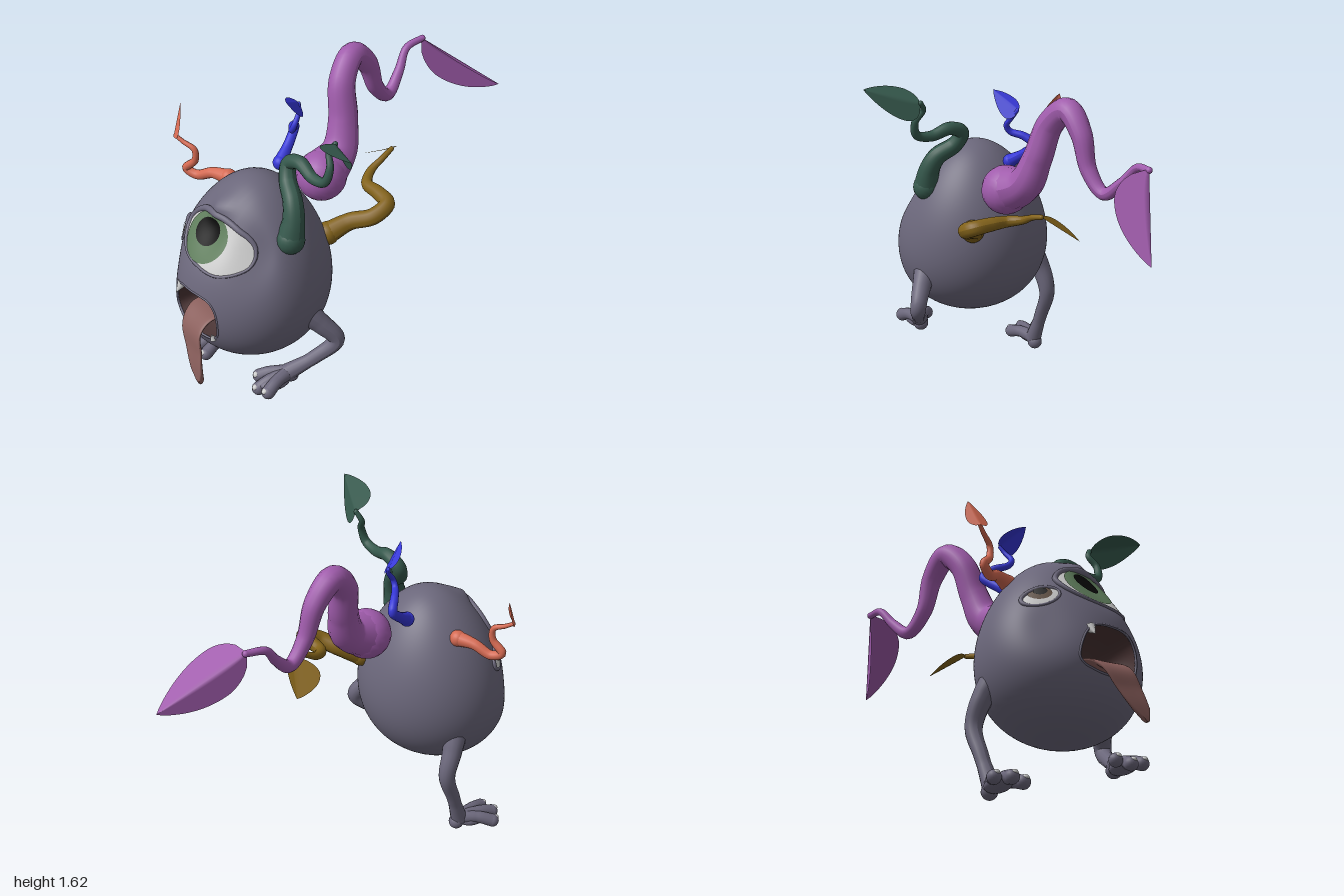
import * as THREE from 'three';

const V = (p) => new THREE.Vector3(...p);
const SKIN = 0x6b677b, DARK = 0x4a3434, WHITE = 0xdcdcda;

function mesh(geo, color, name, side = THREE.FrontSide) {
  const m = new THREE.Mesh(geo, new THREE.MeshStandardMaterial({ color, side, roughness: 0.8 }));
  m.name = name;
  return m;
}

// Grid surface: fn(u, t) -> Vector3, u across (optionally closed), t from the centre outwards
function grid(cols, rows, closed, fn) {
  const pos = [], idx = [], n = closed ? cols : cols + 1;
  for (let i = 0; i <= rows; i++)
    for (let j = 0; j < n; j++) pos.push(...fn(j / cols, i / rows).toArray());
  for (let i = 0; i < rows; i++)
    for (let j = 0; j < cols; j++) {
      const k = (j + 1) % n, a = i * n + j, b = i * n + k, c = a + n, d = b + n;
      idx.push(a, c, b, b, c, d);
    }
  const g = new THREE.BufferGeometry();
  g.setAttribute('position', new THREE.Float32BufferAttribute(pos, 3));
  g.setIndex(idx);
  g.computeVertexNormals();
  return g;
}

function sample(list, t) {
  const f = t * (list.length - 1), i = Math.min(Math.floor(f), list.length - 2);
  return THREE.MathUtils.lerp(list[i], list[i + 1], f - i);
}

// Tapered tube through points, with rounded ends
function limb(points, radii, color, name, closed = false) {
  const g = new THREE.Group();
  g.name = name;
  const curve = new THREE.CatmullRomCurve3(points.map(p => (p.isVector3 ? p : V(p))), closed);
  const segs = points.length * 8, sides = 14;
  const geo = new THREE.TubeGeometry(curve, segs, 1, sides, closed);
  const pos = geo.attributes.position, v = new THREE.Vector3();
  for (let i = 0; i < pos.count; i++) {
    const t = Math.floor(i / (sides + 1)) / segs, c = curve.getPointAt(t);
    v.fromBufferAttribute(pos, i).sub(c).multiplyScalar(sample(radii, t)).add(c);
    pos.setXYZ(i, v.x, v.y, v.z);
  }
  geo.computeVertexNormals();
  g.add(mesh(geo, color, name + 'Tube'));
  if (!closed) for (const t of [0, 1]) g.add(ball(curve.getPointAt(t), sample(radii, t), color, name + 'End'));
  return g;
}

function ball(p, r, color, name) {
  const m = mesh(new THREE.SphereGeometry(r, 20, 14), color, name);
  m.position.copy(p);
  return m;
}

// Egg-shaped body: front position -> unit direction -> surface point
const dirAt = (x, y) => {
  const dy = (y - 0.775) / 0.46, dx = (x + 0.05) / (0.38 * (1 - 0.21 * dy));
  return new THREE.Vector3(dx, dy, Math.sqrt(Math.max(0, 1 - dx * dx - dy * dy))).normalize();
};
// Depth changes: sunken eye corner, eye socket and cheek, raised brow
const reliefs = [[0.2, 0.98, -0.06, 0.11], [-0.02, 1.03, -0.045, 0.08], [-0.29, 0.75, -0.03, 0.12], [-0.04, 1.15, 0.04, 0.03]]
  .map(([x, y, depth, spread]) => ({ at: dirAt(x, y), depth, spread }));
const egg = (d, off = 0) => {
  const f = 1 - 0.21 * d.y;
  let z = 0.575 + 0.365 * d.z * f - 0.03 * d.y;
  for (const r of reliefs) z += r.depth * Math.exp(-d.distanceToSquared(r.at) / r.spread);
  return new THREE.Vector3(-0.05 + 0.38 * d.x * f, 0.775 + 0.46 * d.y, z).addScaledVector(d, off);
};
const onBody = (x, y, off = 0) => egg(dirAt(x, y), off);

const outline = (pts) => {
  const c = new THREE.CatmullRomCurve3(pts.map(([x, y]) => new THREE.Vector3(x, y, 0)), true);
  return (u) => c.getPoint(u);
};
const oval = (x, y, rx, ry, tilt = 0) => (u) => {
  const a = u * Math.PI * 2, px = rx * Math.cos(a), py = ry * Math.sin(a);
  return new THREE.Vector3(x + px * Math.cos(tilt) - py * Math.sin(tilt), y + px * Math.sin(tilt) + py * Math.cos(tilt), 0);
};

// Filled shape lying on the body
const patch = (edge, [cx, cy], off, color, name) => mesh(grid(48, 10, true, (u, t) => {
  const o = edge(u);
  return onBody(cx + (o.x - cx) * t, cy + (o.y - cy) * t, off);
}), color, name);

// Ridge following an outline on the body
const ridge = (edge, radii, off, name) => limb(
  Array.from({ length: 24 }, (_, i) => { const o = edge(i / 24); return onBody(o.x, o.y, off); }), radii, SKIN, name, true);

// Folded leaf: midrib from base to tip, with one offset vector per half
function leaf(base, tip, sideA, sideB, color, name) {
  const b = V(base), t0 = V(tip), sides = [V(sideA), V(sideB)];
  return mesh(grid(12, 24, false, (u, t) => {
    const s = u * 2 - 1;
    const w = t < 0.3 ? Math.sqrt(1 - (1 - t / 0.3) ** 2) : Math.max(0, Math.cos((t - 0.3) / 0.7 * Math.PI / 2)) ** 0.85;
    return b.clone().lerp(t0, t).addScaledVector(sides[s < 0 ? 0 : 1], Math.abs(s) * w);
  }), color, name, THREE.DoubleSide);
}

function tentacle(name, color, bulb, path, radii, leafArgs) {
  const g = new THREE.Group();
  g.name = name;
  g.add(ball(V(path[0]), bulb, color, name + 'Bulb'), limb(path, radii, color, name + 'Stalk'));
  g.add(leaf(...leafArgs, color, name + 'Leaf'));
  return g;
}

// Leg with a padded foot, heel and three clawed toes
function leg(name, path, palm, toes) {
  const g = new THREE.Group();
  g.name = name;
  g.add(limb(path, [0.07, 0.05, 0.042, 0.036, 0.033, 0.042], SKIN, name + 'Limb'));
  const pad = ball(V(palm), 1, SKIN, name + 'Foot');
  pad.scale.set(0.055, 0.034, 0.085);
  const ankle = path.at(-1);
  g.add(pad, ball(V(ankle).add(V([0, -0.02, -0.015])), 0.038, SKIN, name + 'Heel'));
  for (const toe of toes) {
    const mid = V(ankle).lerp(V(toe), 0.6);
    mid.y += 0.012;
    g.add(limb([ankle, mid, toe], [0.036, 0.03, 0.033], SKIN, name + 'Toe'));
    const nail = ball(V(toe).add(V([0, 0.014, 0.017])), 0.018, WHITE, name + 'Nail');
    nail.scale.set(0.9, 0.8, 1);
    g.add(nail);
  }
  return g;
}

export function createModel() {
  const model = new THREE.Group();
  model.name = 'creature';

  // Body wrapped around the mouth opening
  const mouth = outline([[0.14, 0.58], [0.142, 0.7], [0.1, 0.757], [-0.015, 0.765], [-0.115, 0.745],
    [-0.165, 0.665], [-0.172, 0.57], [-0.08, 0.53], [0.03, 0.53], [0.1, 0.535]]);
  const mc = [-0.015, 0.64], back = dirAt(...mc).negate();
  model.add(mesh(grid(96, 64, true, (u, t) => {
    const o = mouth(u), a = dirAt(o.x, o.y), th = a.angleTo(back), s = Math.sin(th);
    return egg(a.multiplyScalar(Math.sin((1 - t) * th) / s).addScaledVector(back, Math.sin(t * th) / s).normalize());
  }), SKIN, 'body'));
  model.add(mesh(grid(64, 14, true, (u, t) => {
    const o = mouth(u), p = onBody(o.x, o.y), k = Math.sin(t * Math.PI / 2);
    return new THREE.Vector3(mc[0] + (p.x - mc[0]) * k, mc[1] + (p.y - mc[1]) * k, p.z - 0.22 * Math.cos(t * Math.PI / 2));
  }), DARK, 'mouthCavity', THREE.DoubleSide));
  model.add(ridge(mouth, [0.006, 0.006], -0.003, 'lips'));

  // Teeth
  for (const [x, y, r, h, flip] of [[-0.12, 0.715, 0.025, 0.06, Math.PI - 0.7], [0.11, 0.558, 0.016, 0.035, 0.3]]) {
    const tooth = mesh(new THREE.ConeGeometry(r, h, 14), WHITE, 'tooth');
    tooth.position.copy(onBody(x, y, 0));
    tooth.rotation.x = flip;
    model.add(tooth);
  }

  // Tongue hanging over the lower lip
  const spine = new THREE.CatmullRomCurve3([[0, 0.61, 0.74], [-0.02, 0.6, 0.88], [0, 0.55, 0.945], [0.045, 0.46, 0.965],
    [0.08, 0.39, 0.98], [0.122, 0.318, 0.988]].map(V));
  const tongueWidth = [0.1, 0.1, 0.1, 0.09, 0.08, 0.072, 0.06, 0.045, 0.006];
  model.add(mesh(grid(20, 32, true, (u, t) => {
    const a = u * Math.PI * 2, w = sample(tongueWidth, t), tan = spine.getTangentAt(t);
    const across = new THREE.Vector3(1, 0.3 * t, 0), up = tan.clone().cross(across).normalize();
    return spine.getPointAt(t).addScaledVector(across, w * Math.cos(a))
      .addScaledVector(up, Math.min(0.016, w) * Math.sin(a) + 0.012 * Math.cos(a) ** 2);
  }), 0x8a5f5c, 'tongue', THREE.DoubleSide));

  // Large eye with lids
  const bigEye = outline([[0.188, 0.935], [0.155, 1.035], [0.06, 1.095], [-0.045, 1.11], [-0.145, 1.085],
    [-0.21, 1.01], [-0.185, 0.95], [-0.115, 0.905], [0, 0.888], [0.125, 0.892]]);
  model.add(patch(bigEye, [-0.02, 1], 0.004, WHITE, 'largeEye'),
    patch(oval(-0.047, 1.0, 0.125, 0.102), [-0.047, 1], 0.008, 0x5f7d5c, 'largeIris'),
    patch(oval(-0.05, 1.022, 0.068, 0.057), [-0.05, 1.022], 0.012, 0x080808, 'largePupil'),
    ridge(bigEye, [0.007, 0.013, 0.017, 0.013, 0.008, 0.007, 0.007], 0.002, 'largeEyelids'));

  // Small eye with lids
  const smallEye = oval(-0.287, 0.9, 0.073, 0.044, 0.5);
  model.add(patch(smallEye, [-0.287, 0.9], 0.004, WHITE, 'smallEye'),
    patch(oval(-0.288, 0.914, 0.042, 0.034, 0.4), [-0.288, 0.914], 0.008, 0x5c4a3c, 'smallIris'),
    patch(oval(-0.286, 0.922, 0.024, 0.02, 0.4), [-0.286, 0.922], 0.012, 0x080808, 'smallPupil'),
    ridge(smallEye, [0.007, 0.014, 0.012, 0.006, 0.006, 0.007], 0.001, 'smallEyelids'));

  // Legs
  model.add(leg('rightLeg', [[-0.34, 0.6, 0.52], [-0.39, 0.5, 0.475], [-0.41, 0.37, 0.435], [-0.402, 0.22, 0.485], [-0.385, 0.06, 0.54]],
    [-0.4, 0.042, 0.62], [[-0.47, 0.035, 0.69], [-0.405, 0.037, 0.73], [-0.335, 0.035, 0.71]]));
  model.add(leg('leftLeg', [[0.24, 0.62, 0.5], [0.305, 0.54, 0.43], [0.35, 0.45, 0.375], [0.31, 0.36, 0.47], [0.255, 0.285, 0.59]],
    [0.245, 0.255, 0.66], [[0.17, 0.255, 0.7], [0.225, 0.235, 0.74], [0.295, 0.255, 0.73]]));

  // Tentacles with leaf tips
  model.add(tentacle('purpleTentacle', 0xa05cac, 0.122,
    [[-0.05, 1.09, 0.18], [-0.09, 1.16, 0.05], [-0.13, 1.3, 0], [-0.18, 1.47, -0.03], [-0.225, 1.56, -0.12], [-0.245, 1.47, -0.22],
      [-0.255, 1.31, -0.28], [-0.285, 1.22, -0.375], [-0.325, 1.3, -0.47], [-0.36, 1.39, -0.54], [-0.365, 1.41, -0.64]],
    [0.12, 0.088, 0.073, 0.067, 0.062, 0.055, 0.045, 0.036, 0.028, 0.02, 0.016],
    [[-0.368, 1.415, -0.635], [-0.18, 1.11, -0.997], [0, -0.14, 0.03], [0.17, 0.01, 0.02]]));
  model.add(tentacle('goldTentacle', 0x82621a, 0.057,
    [[0.1, 0.87, 0.25], [0.14, 0.92, 0.15], [0.215, 0.96, 0.07], [0.215, 1, -0.01], [0.13, 1.01, -0.02], [0.04, 1.01, -0.02],
      [-0.015, 1.03, -0.08], [-0.025, 1.07, -0.16], [-0.04, 1.09, -0.22]],
    [0.054, 0.043, 0.041, 0.039, 0.034, 0.026, 0.016, 0.012],
    [[-0.04, 1.09, -0.22], [-0.205, 0.965, -0.295], [-0.07, -0.025, 0.1], [0.016, 0.014, -0.03]]));
  model.add(tentacle('greenTentacle', 0x35584c, 0.068,
    [[0.222, 1.03, 0.535], [0.215, 1.13, 0.51], [0.18, 1.2, 0.49], [0.095, 1.26, 0.46], [0.07, 1.325, 0.435], [0.14, 1.36, 0.42],
      [0.24, 1.335, 0.42], [0.32, 1.355, 0.41], [0.335, 1.43, 0.39], [0.3, 1.49, 0.37], [0.32, 1.535, 0.35]],
    [0.066, 0.052, 0.046, 0.042, 0.036, 0.032, 0.026, 0.021, 0.016, 0.012],
    [[0.32, 1.535, 0.35], [0.575, 1.61, 0.44], [0, -0.1, -0.03], [-0.02, 0.03, 0.09]]));
  model.add(tentacle('blueTentacle', 0x3536d6, 0.036,
    [[-0.15, 1.17, 0.345], [-0.195, 1.235, 0.26], [-0.22, 1.285, 0.215], [-0.18, 1.325, 0.25], [-0.125, 1.345, 0.29],
      [-0.105, 1.38, 0.29], [-0.12, 1.43, 0.255], [-0.14, 1.465, 0.24]],
    [0.034, 0.025, 0.023, 0.021, 0.017, 0.013, 0.009],
    [[-0.145, 1.465, 0.235], [-0.065, 1.548, 0.355], [0.04, -0.06, -0.01], [-0.03, 0.02, 0.02]]));
  model.add(tentacle('orangeTentacle', 0xd56a52, 0.04,
    [[-0.3, 1.08, 0.54], [-0.38, 1.075, 0.58], [-0.455, 1.04, 0.625], [-0.5, 1.065, 0.655], [-0.455, 1.125, 0.63],
      [-0.455, 1.185, 0.63], [-0.505, 1.215, 0.66], [-0.54, 1.24, 0.68]],
    [0.038, 0.027, 0.024, 0.021, 0.017, 0.013, 0.009],
    [[-0.54, 1.235, 0.69], [-0.57, 1.383, 0.625], [-0.035, -0.01, -0.03], [0.045, -0.01, 0.01]]));

  return model;
}
